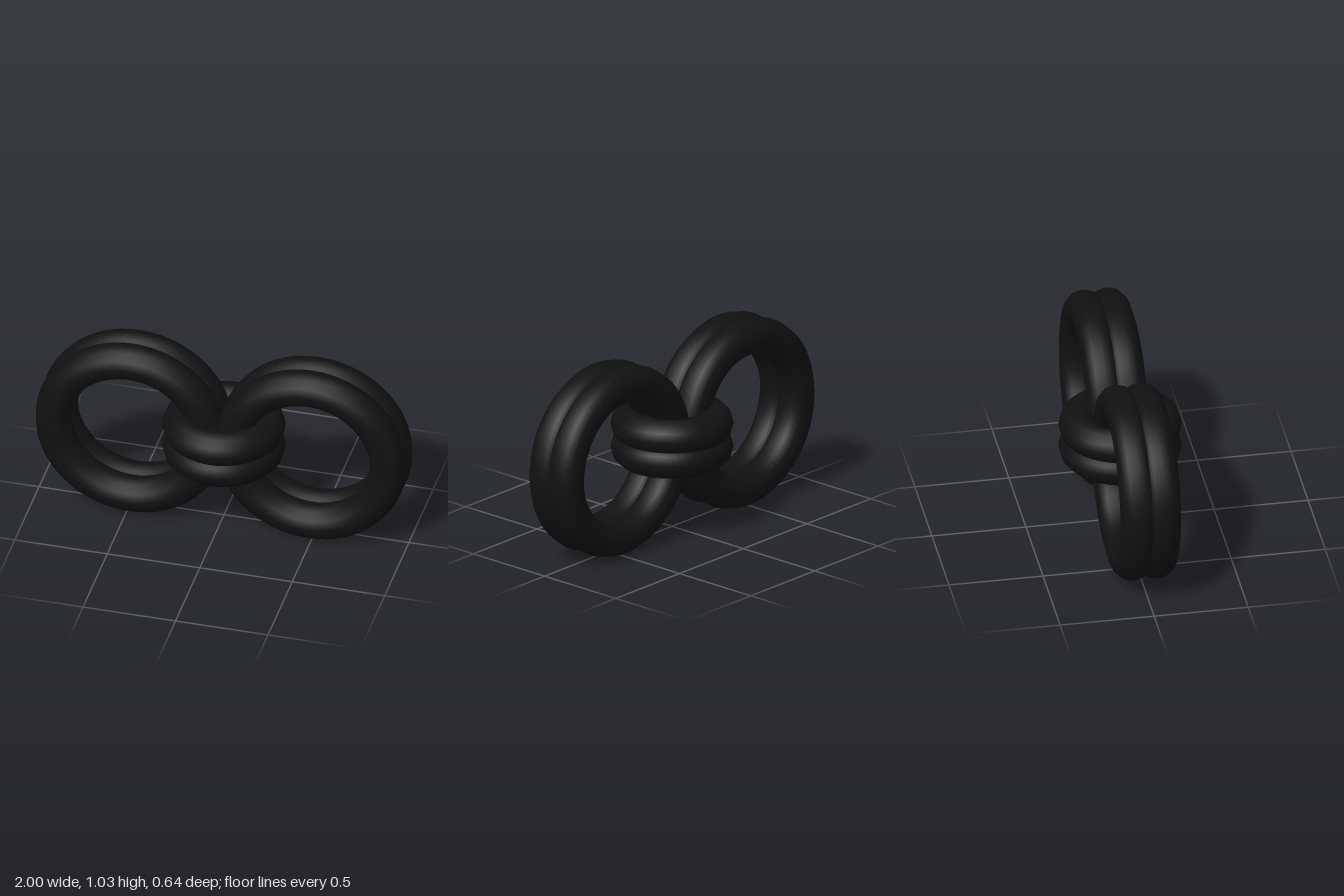
import * as THREE from 'three';

const TUBE = 0.0965; // thickness radius of every ring
const OFFSET = 0.0645; // half the spacing inside a doubled ring
const MID_Y = 0.517;

export function createModel() {
  const model = new THREE.Group();
  const material = new THREE.MeshStandardMaterial({ color: 0x111111 });

  // Two fused rings side by side along their shared axis
  function doubleRing(name, radius) {
    const group = new THREE.Group();
    group.name = name;
    const geometry = new THREE.TorusGeometry(radius, TUBE, 12, 64);
    for (const side of [-1, 1]) {
      const ring = new THREE.Mesh(geometry, material);
      ring.name = side > 0 ? 'frontRing' : 'backRing';
      ring.position.z = side * OFFSET;
      group.add(ring);
    }
    model.add(group);
    return group;
  }

  // Large upright loops meeting in the middle
  doubleRing('leftLoop', 0.419).position.set(0.485, MID_Y, 0);
  doubleRing('rightLoop', 0.419).position.set(-0.485, MID_Y, 0);

  // Small horizontal ring binding the loops
  const binding = doubleRing('centreBinding', 0.225);
  binding.position.y = MID_Y;
  binding.rotation.x = -Math.PI / 2;
  binding.children[0].name = 'lowerRing';
  binding.children[1].name = 'upperRing';

  return model;
}
